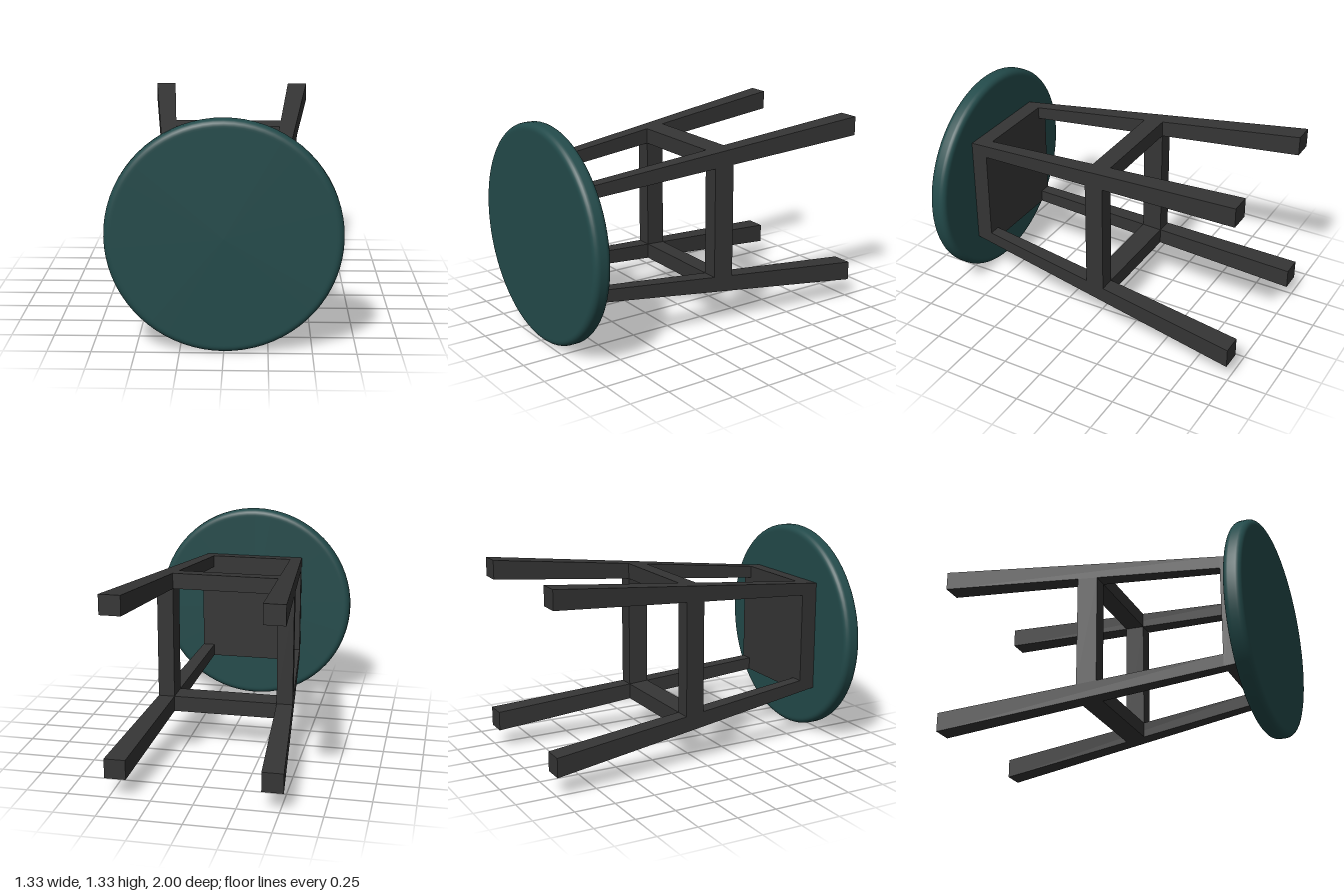
import * as THREE from 'three';

// Half extents of the tapered frame at depth z, measured from its axis
const lerpAt = (z, z0, v0, z1, v1) => v0 + (v1 - v0) * (z - z0) / (z1 - z0);
const outerX = z => lerpAt(z, 0.89, 0.33, -1, 0.523);
const outerY = z => lerpAt(z, 0.89, 0.348, -1, 0.548);
const innerX = z => lerpAt(z, 0.78, 0.265, -1, 0.395);
const innerY = z => lerpAt(z, 0.78, 0.282, -1, 0.428);

const CENTRE_Y = 0.67;
const SEAT_RADIUS = 0.667;

// Box from z0 to z1 whose x and y ranges vary with z
function taperedBox(z0, z1, xRange, yRange) {
  const geo = new THREE.BoxGeometry(1, 1, 1);
  const p = geo.attributes.position;
  for (let i = 0; i < p.count; i++) {
    const z = p.getZ(i) < 0 ? z0 : z1;
    const xs = xRange(z).sort((a, b) => a - b);
    const ys = yRange(z).sort((a, b) => a - b);
    p.setXYZ(i, xs[p.getX(i) < 0 ? 0 : 1], ys[p.getY(i) < 0 ? 0 : 1], z);
  }
  geo.computeVertexNormals();
  return geo;
}

// Round cushion profile with softened edges, turned to face +z
function seatGeometry(back, front, radius, round) {
  const pts = [new THREE.Vector2(0, back), new THREE.Vector2(radius - round - 0.01, back)];
  const steps = 6;
  for (const [cy, start] of [[back + round, -Math.PI / 2], [front - round, 0]]) {
    for (let i = 0; i <= steps; i++) {
      const a = start + (i / steps) * Math.PI / 2;
      pts.push(new THREE.Vector2(radius - round + Math.cos(a) * round, cy + Math.sin(a) * round));
    }
  }
  pts.push(new THREE.Vector2(radius - round - 0.01, front), new THREE.Vector2(0, front));
  return new THREE.LatheGeometry(pts, 72).rotateX(Math.PI / 2);
}

export function createModel() {
  const group = new THREE.Group();
  const frameMat = new THREE.MeshStandardMaterial({ color: 0x353535 });
  frameMat.name = 'charcoal frame';
  const seatMat = new THREE.MeshStandardMaterial({ color: 0x234b4b });
  seatMat.name = 'dark teal seat';

  const add = (name, geo, mat) => {
    const mesh = new THREE.Mesh(geo, mat);
    mesh.name = name;
    mesh.position.y = CENTRE_Y;
    group.add(mesh);
  };

  add('seat', seatGeometry(0.892, 1, SEAT_RADIUS, 0.036), seatMat);

  // Solid block under the seat, flush with the legs
  add('seatBlock', taperedBox(0.78, 0.893,
    z => [-outerX(z), outerX(z)], z => [-outerY(z), outerY(z)]), frameMat);

  // Four splayed, tapering legs
  for (const sx of [-1, 1]) for (const sy of [-1, 1]) {
    add((sy > 0 ? 'upper' : 'lower') + (sx > 0 ? 'Left' : 'Right') + 'Leg',
      taperedBox(-1, 0.78,
        z => [sx * innerX(z), sx * outerX(z)],
        z => [sy * innerY(z), sy * outerY(z)]), frameMat);
  }

  // Ring of four stretchers between the legs
  const z0 = -0.11, z1 = 0.015;
  for (const s of [-1, 1]) {
    add(s > 0 ? 'upperStretcher' : 'lowerStretcher', taperedBox(z0, z1,
      z => [-innerX(z), innerX(z)], z => [s * innerY(z), s * outerY(z)]), frameMat);
    add(s > 0 ? 'leftStretcher' : 'rightStretcher', taperedBox(z0, z1,
      z => [s * innerX(z), s * outerX(z)], z => [-innerY(z), innerY(z)]), frameMat);
  }

  return group;
}
